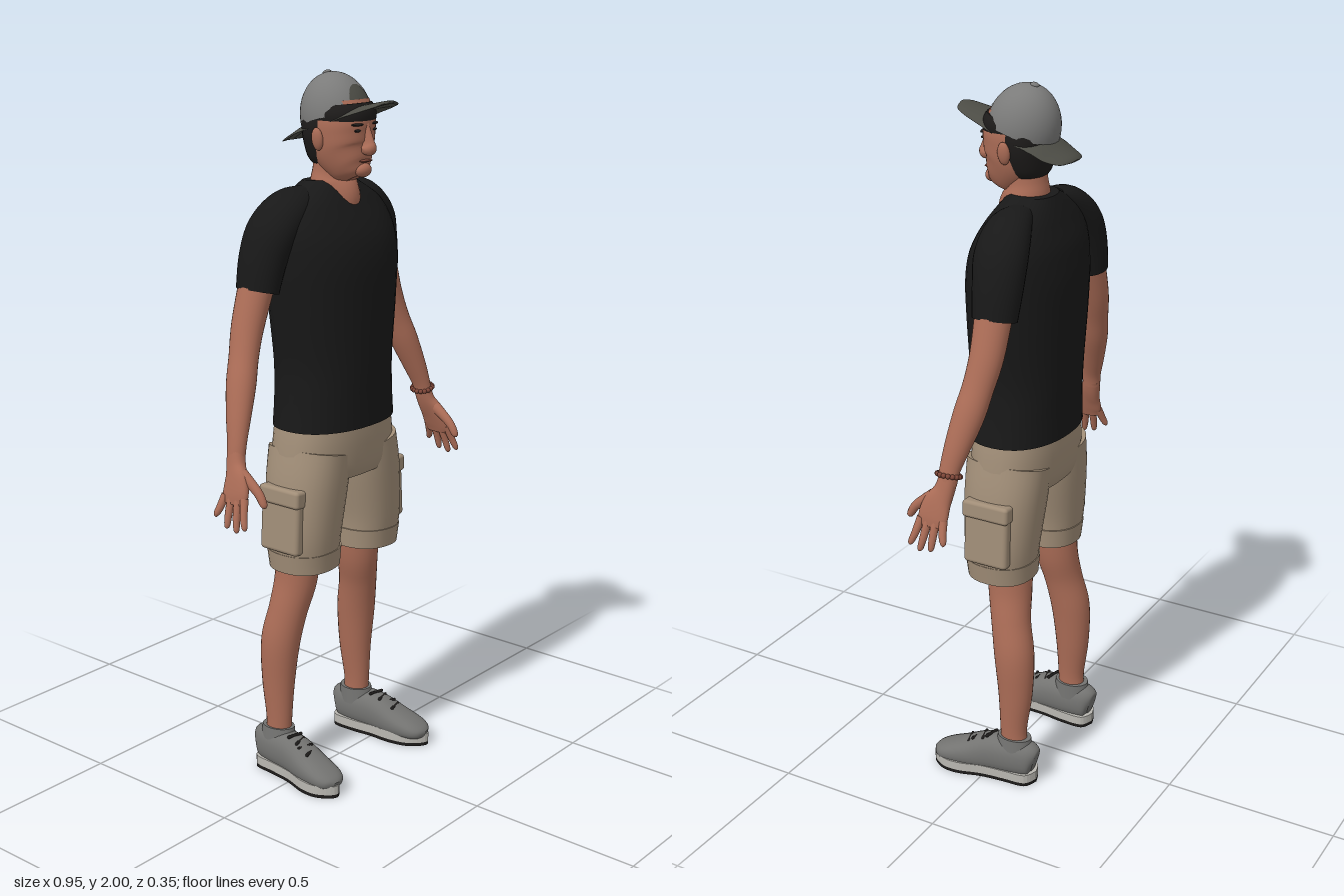
import * as THREE from 'three';
import { RoundedBoxGeometry } from 'three/addons/geometries/RoundedBoxGeometry.js';

const mat = (name, color) => {
  const m = new THREE.MeshStandardMaterial({ color });
  m.name = name;
  return m;
};

// Smooth interpolation through rows of numbers
function smoothRows(rows, steps) {
  const out = [];
  const n = rows.length;
  for (let i = 0; i < n - 1; i++) {
    const p = [rows[Math.max(i - 1, 0)], rows[i], rows[i + 1], rows[Math.min(i + 2, n - 1)]];
    for (let s = 0; s < steps; s++) {
      const t = s / steps;
      out.push(rows[0].map((_, k) => {
        const [a, b, c, d] = p.map((r) => r[k]);
        return 0.5 * (2 * b + (c - a) * t + (2 * a - 5 * b + 4 * c - d) * t * t + (3 * b - a - 3 * c + d) * t * t * t);
      }));
    }
  }
  out.push(rows[n - 1]);
  return out;
}

// Loft of rounded rings; rows are [x, y, z, halfWidth, halfDepth], listed upward (or toward +z)
function loft(rows, power = 2, sides = 28, steps = 5) {
  const rings = smoothRows(rows, steps);
  const pos = [], idx = [];
  const centre = rings.map((r) => new THREE.Vector3(r[0], r[1], r[2]));
  const bulge = (v) => Math.sign(v) * Math.pow(Math.abs(v), 2 / power);
  const addRing = (i) => {
    const start = pos.length / 3;
    const T = centre[Math.min(i + 1, rings.length - 1)].clone().sub(centre[Math.max(i - 1, 0)]).normalize();
    const U = new THREE.Vector3(1, 0, 0).addScaledVector(T, -T.x).normalize();
    const V = U.clone().cross(T);
    for (let j = 0; j < sides; j++) {
      const a = (j / sides) * Math.PI * 2;
      const p = centre[i].clone()
        .addScaledVector(U, Math.max(rings[i][3], 0.0005) * bulge(Math.cos(a)))
        .addScaledVector(V, Math.max(rings[i][4], 0.0005) * bulge(Math.sin(a)));
      pos.push(p.x, p.y, p.z);
    }
    return start;
  };
  rings.forEach((_, i) => addRing(i));
  for (let i = 0; i < rings.length - 1; i++) {
    for (let j = 0; j < sides; j++) {
      const a = i * sides + j, b = i * sides + (j + 1) % sides;
      idx.push(a, a + sides, b + sides, a, b + sides, b);
    }
  }
  for (const end of [0, rings.length - 1]) {
    const s = addRing(end), c = pos.length / 3;
    pos.push(...centre[end].toArray());
    for (let j = 0; j < sides; j++) {
      const a = s + j, b = s + (j + 1) % sides;
      idx.push(c, ...(end ? [b, a] : [a, b]));
    }
  }
  const g = new THREE.BufferGeometry();
  g.setAttribute('position', new THREE.Float32BufferAttribute(pos, 3));
  g.setIndex(idx);
  g.computeVertexNormals();
  return g;
}

// Move every vertex by a rule
function deform(g, rule) {
  const p = g.attributes.position, v = new THREE.Vector3();
  for (let i = 0; i < p.count; i++) {
    rule(v.fromBufferAttribute(p, i));
    p.setXYZ(i, v.x, v.y, v.z);
  }
  g.computeVertexNormals();
  return g;
}

export function createModel() {
  const model = new THREE.Group();
  const skin = mat('skin', 0xac6d57), shirt = mat('shirt black', 0x181818);
  const khaki = mat('khaki', 0xa08d77), capGrey = mat('cap grey', 0x7b7b7a);
  const brimGrey = mat('brim grey', 0x4c4c45), dark = mat('hair and laces', 0x1d1b1a);
  const shoeGrey = mat('shoe grey', 0x737371), soleWhite = mat('sole white', 0xb9b7b1);
  const lip = mat('lip and bracelet', 0x7d4638);
  capGrey.side = THREE.DoubleSide;

  const add = (name, geo, material, parent = model) => {
    const m = new THREE.Mesh(geo, material);
    m.name = name;
    parent.add(m);
    return m;
  };
  const ball = (name, material, p, s, parent = model) => {
    const m = add(name, new THREE.SphereGeometry(1, 20, 14), material, parent);
    m.position.set(...p);
    m.scale.set(...s);
    return m;
  };

  // Shirt body and pelvis
  add('shirtBody', loft([
    [0, 1.04, -0.022, 0.196, 0.136], [0, 1.12, -0.022, 0.186, 0.137], [0, 1.22, -0.023, 0.181, 0.141],
    [0, 1.38, -0.025, 0.2, 0.145], [0, 1.5, -0.027, 0.212, 0.143], [0, 1.58, -0.035, 0.212, 0.125],
    [0, 1.64, -0.04, 0.185, 0.097], [0, 1.68, -0.043, 0.13, 0.076], [0, 1.71, -0.045, 0.075, 0.058]], 2.25, 40), shirt);
  add('shortsSeat', loft([
    [0, 0.895, -0.024, 0.18, 0.112], [0, 0.93, -0.024, 0.203, 0.121], [0, 1, -0.024, 0.197, 0.126],
    [0, 1.06, -0.024, 0.185, 0.125]], 2.4, 40), khaki);

  // Neck and head
  add('neck', loft([
    [0, 1.6, 0.0, 0.05, 0.05], [0, 1.655, -0.008, 0.058, 0.067], [0, 1.7, -0.022, 0.066, 0.062],
    [0, 1.74, -0.022, 0.057, 0.055], [0, 1.81, -0.015, 0.058, 0.055]]), skin);
  add('head', loft([
    [0, 1.718, 0.055, 0.022, 0.025], [0, 1.728, 0.05, 0.044, 0.044], [0, 1.75, 0.036, 0.062, 0.063],
    [0, 1.79, 0.016, 0.079, 0.08], [0, 1.83, 0.009, 0.085, 0.088], [0, 1.87, 0.005, 0.086, 0.093],
    [0, 1.92, 0, 0.075, 0.078]], 2.15, 36), skin);
  add('nose', loft([
    [0, 1.79, 0.09, 0.016, 0.012], [0, 1.8, 0.098, 0.02, 0.024], [0, 1.815, 0.097, 0.013, 0.021],
    [0, 1.85, 0.092, 0.009, 0.012], [0, 1.868, 0.09, 0.01, 0.008]], 2, 16), skin);
  ball('mouth', lip, [0, 1.767, 0.091], [0.025, 0.004, 0.009]);
  ball('chin', skin, [0, 1.742, 0.08], [0.028, 0.02, 0.021]);
  add('hair', loft([
    [0, 1.755, -0.035, 0.055, 0.04], [0, 1.775, -0.034, 0.07, 0.052], [0, 1.82, -0.031, 0.087, 0.061],
    [0, 1.86, -0.028, 0.091, 0.068], [0, 1.9, -0.02, 0.082, 0.07]], 2.2), dark);
  add('fringe', loft([
    [0, 1.874, 0.005, 0.0885, 0.0935], [0, 1.89, 0.005, 0.089, 0.094], [0, 1.91, 0.003, 0.08, 0.084]], 2.15, 36), dark);

  // Cap, tilted back, with a short front brim and a wider rear one
  const cap = new THREE.Group();
  cap.name = 'cap';
  cap.position.set(0, 1.874, -0.01);
  cap.rotation.x = -0.28;
  model.add(cap);
  const domeScale = [0.094, 0.122, 0.1];
  add('capDome', new THREE.SphereGeometry(1, 36, 16, 0, Math.PI * 2, 0, Math.PI / 2), capGrey, cap).scale.set(...domeScale);
  const arch = deform(new THREE.RingGeometry(0.001, 0.44, 24, 5, 0, Math.PI), (v) => {
    v.y = v.y * 1.15 + 0.08;
    v.z = 1.012 * Math.sqrt(1 - v.x * v.x - v.y * v.y);
  });
  add('capOpening', arch, brimGrey, cap).scale.set(...domeScale);
  ball('capButton', capGrey, [0, 0.122, 0], [0.012, 0.006, 0.012], cap);
  const brim = (name, rows, drop) => add(name,
    deform(loft(rows, 2, 40, 6), (v) => { v.y -= drop * v.x * v.x; }), brimGrey, cap);
  brim('frontBrim', [[0, 0.008, 0.045, 0.085, 0.005], [0, 0.006, 0.09, 0.075, 0.005], [0, 0.003, 0.14, 0.063, 0.005],
    [0, 0, 0.178, 0.045, 0.005], [0, -0.001, 0.192, 0.012, 0.003]], 3.2);
  brim('rearBrim', [[0, -0.022, -0.168, 0.022, 0.003], [0, -0.018, -0.155, 0.06, 0.005], [0, -0.01, -0.12, 0.083, 0.005],
    [0, 0, -0.08, 0.09, 0.005], [0, 0.004, -0.03, 0.092, 0.005]], 2.5);

  for (const s of [1, -1]) {
    const side = new THREE.Group();
    side.name = s > 0 ? 'leftSide' : 'rightSide';
    model.add(side);
    const part = (name, material, rows, power, sides, steps) =>
      add(name, loft(rows.map(([x, ...r]) => [s * x, ...r]), power, sides, steps), material, side);

    // Face details
    ball('ear', skin, [s * 0.09, 1.825, -0.002], [0.011, 0.031, 0.018], side).rotation.z = -s * 0.15;
    ball('eye', dark, [s * 0.034, 1.848, 0.0895], [0.012, 0.004, 0.006], side);
    ball('brow', dark, [s * 0.036, 1.864, 0.0905], [0.019, 0.004, 0.007], side).rotation.y = s * 0.3;

    // Sleeve, arm and hand
    part('sleeve', shirt, [[0.257, 1.435, -0.07, 0.053, 0.062], [0.236, 1.52, -0.068, 0.058, 0.07],
      [0.205, 1.59, -0.06, 0.06, 0.075], [0.15, 1.645, -0.05, 0.05, 0.066], [0.09, 1.67, -0.045, 0.03, 0.045]]);
    part('arm', skin, [[0.411, 1.02, -0.014, 0.021, 0.027], [0.402, 1.06, -0.018, 0.023, 0.029],
      [0.382, 1.12, -0.03, 0.03, 0.036], [0.352, 1.2, -0.047, 0.037, 0.043], [0.326, 1.27, -0.06, 0.037, 0.043],
      [0.297, 1.35, -0.07, 0.041, 0.047], [0.258, 1.46, -0.07, 0.045, 0.052]]);
    part('palm', skin, [[0.449, 0.905, 0.012, 0.011, 0.036], [0.443, 0.93, 0.012, 0.015, 0.043],
      [0.432, 0.965, 0.006, 0.018, 0.039], [0.418, 1.0, -0.008, 0.02, 0.029], [0.408, 1.035, -0.016, 0.021, 0.026]], 2.3, 24);
    [[0.046, 0.066, 0.848], [0.024, 0.037, 0.836], [0.001, 0.004, 0.842], [-0.021, -0.034, 0.866]].forEach(([z, tipZ, tipY]) => {
      part('finger', skin, [[0.471, tipY, tipZ, 0.002, 0.002], [0.469, tipY + 0.008, tipZ, 0.008, 0.008],
        [0.461, (tipY + 0.92) / 2, (z + tipZ) / 2, 0.01, 0.0105], [0.446, 0.925, z, 0.011, 0.012]], 2, 12, 4);
    });
    part('thumb', skin, [[0.424, 0.905, 0.098, 0.003, 0.003], [0.424, 0.914, 0.094, 0.01, 0.01],
      [0.424, 0.945, 0.073, 0.012, 0.013], [0.425, 0.985, 0.02, 0.014, 0.018]], 2, 14, 4);

    // Shorts leg with hem and cargo pocket
    part('shortsLeg', khaki, [[0.13, 0.645, -0.02, 0.091, 0.093], [0.134, 0.74, -0.02, 0.098, 0.104],
      [0.118, 0.87, -0.022, 0.103, 0.115], [0.1, 0.97, -0.024, 0.098, 0.12]], 2.3, 32);
    part('shortsHem', khaki, [[0.13, 0.64, -0.02, 0.094, 0.096], [0.132, 0.695, -0.02, 0.098, 0.102]], 2.3, 32, 2);
    const pocket = add('cargoPocket', new RoundedBoxGeometry(0.036, 0.17, 0.135, 3, 0.012), khaki, side);
    pocket.position.set(s * 0.22, 0.785, -0.022);
    const flap = add('pocketFlap', new RoundedBoxGeometry(0.042, 0.05, 0.143, 3, 0.01), khaki, side);
    flap.position.set(s * 0.22, 0.862, -0.022);
    pocket.rotation.z = flap.rotation.z = s * 0.06;

    // Lower leg
    part('leg', skin, [[0.177, 0.09, -0.085, 0.034, 0.042], [0.178, 0.16, -0.08, 0.033, 0.04],
      [0.175, 0.28, -0.084, 0.043, 0.051], [0.171, 0.4, -0.078, 0.052, 0.059], [0.157, 0.5, -0.06, 0.052, 0.058],
      [0.138, 0.59, -0.047, 0.056, 0.064], [0.13, 0.7, -0.04, 0.06, 0.07]]);

    // Shoe
    part('shoeUpper', shoeGrey, [[0.178, 0.07, -0.152, 0.02, 0.035], [0.179, 0.073, -0.135, 0.037, 0.053],
      [0.182, 0.072, -0.08, 0.045, 0.058], [0.188, 0.069, -0.01, 0.048, 0.057], [0.197, 0.054, 0.06, 0.053, 0.043],
      [0.204, 0.044, 0.12, 0.05, 0.029], [0.208, 0.039, 0.15, 0.036, 0.019], [0.21, 0.036, 0.163, 0.012, 0.01]], 2.3);
    part('shoeCollar', shoeGrey, [[0.18, 0.09, -0.082, 0.043, 0.058], [0.178, 0.138, -0.083, 0.039, 0.051]], 2, 28, 3);
    const outline = [[0.178, -0.155], [0.217, -0.135], [0.225, -0.07], [0.234, 0], [0.254, 0.07], [0.25, 0.125],
      [0.212, 0.167], [0.166, 0.13], [0.148, 0.07], [0.146, 0], [0.138, -0.07], [0.14, -0.135]];
    const soleShape = new THREE.Shape(new THREE.SplineCurve(
      [...outline, outline[0]].map(([x, z]) => new THREE.Vector2(s * x, -z))).getPoints(60).slice(0, -1));
    const sole = (name, material, y, height) => {
      const g = new THREE.ExtrudeGeometry(soleShape, { depth: height, bevelEnabled: false });
      add(name, g.rotateX(-Math.PI / 2).translate(0, y, 0), material, side);
    };
    sole('outsole', dark, 0, 0.01);
    sole('midsole', soleWhite, 0.01, 0.026);
    for (let i = 0; i < 4; i++) {
      const lace = add('lace', new THREE.CapsuleGeometry(0.005, 0.042, 4, 8), dark, side);
      lace.position.set(s * (0.188 + i * 0.003), 0.127 - i * 0.0095, -0.012 + i * 0.022);
      lace.rotation.set(0, (i % 2 ? 1 : -1) * 0.25, Math.PI / 2);
    }
  }

  // Beaded bracelet on the left wrist
  const bracelet = new THREE.Group();
  bracelet.name = 'bracelet';
  bracelet.position.set(0.406, 1.043, -0.016);
  bracelet.rotation.z = 0.3;
  model.add(bracelet);
  for (let i = 0; i < 16; i++) {
    const a = (i / 16) * Math.PI * 2;
    ball('bead', lip, [Math.cos(a) * 0.027, 0, Math.sin(a) * 0.032], [0.007, 0.007, 0.007], bracelet);
  }
  return model;
}
